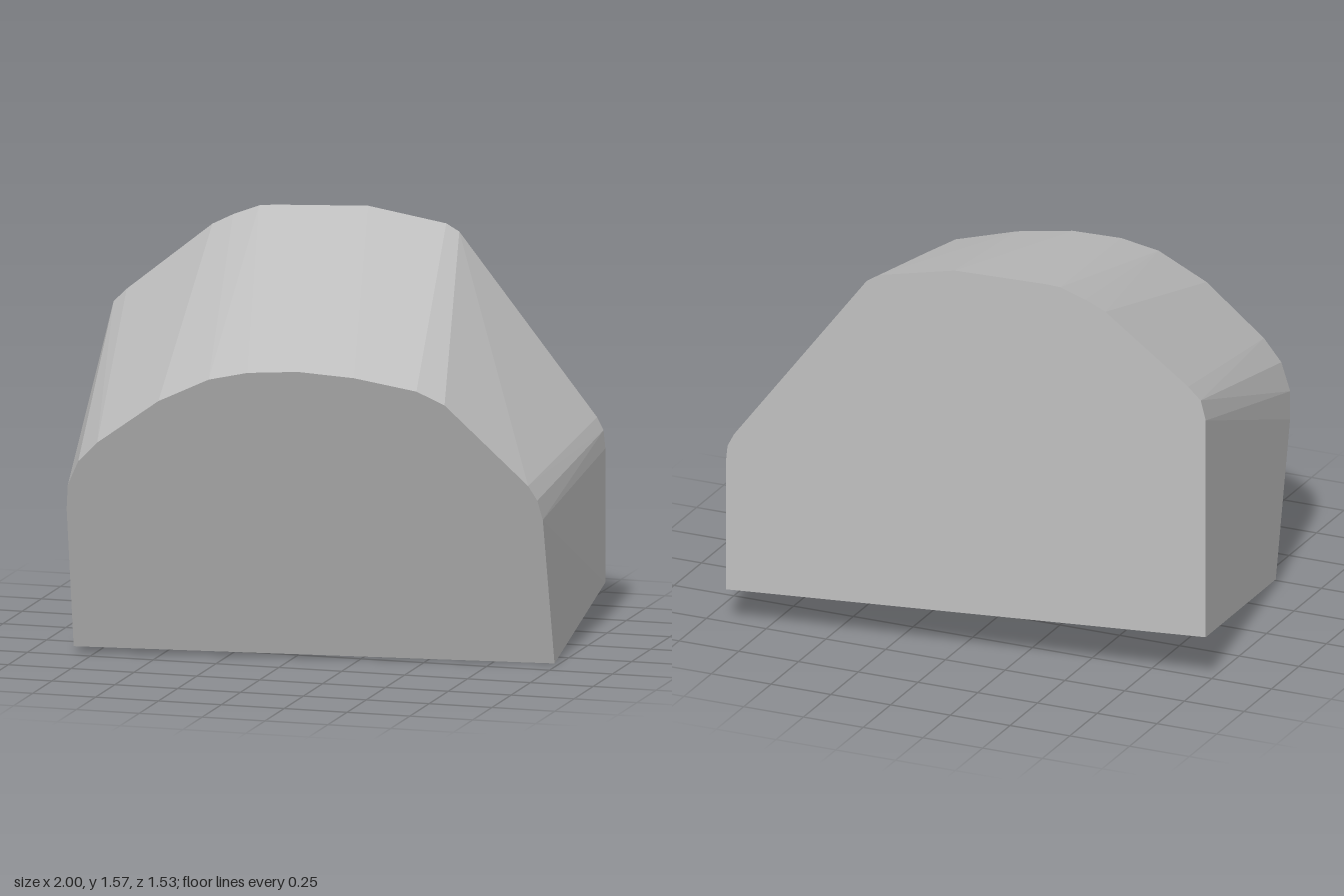
import * as THREE from 'three';
import { ConvexGeometry } from 'three/addons/geometries/ConvexGeometry.js';

// Outlines as [x, y], from the lower right corner clockwise round to the lower left
const frontOutline = [
  [-0.83, 0.025], [-0.795, 0.6], [-0.78, 0.7], [-0.73, 0.8], [-0.65, 0.88],
  [-0.4, 1.06], [-0.2, 1.155], [-0.05, 1.187], [0.14, 1.196], [0.35, 1.175],
  [0.58, 1.125], [0.68, 1.07], [0.96, 0.74], [0.988, 0.68], [1, 0.6], [0.98, 0],
];
const backOutline = [
  [-1, 0.19], [-1, 1.08], [-0.98, 1.16], [-0.93, 1.21], [-0.6, 1.475],
  [-0.52, 1.515], [-0.42, 1.553], [-0.36, 1.558], [0, 1.567], [0.3, 1.51],
  [0.35, 1.48], [0.88, 0.78], [0.905, 0.73], [0.912, 0.66], [0.912, 0.14],
];

// Each end face lies in its own slanted plane
const frontZ = (x, y) => 0.296 - 0.18 * x + 0.37 * y;
const backZ = (x) => -0.665 - 0.11 * x;

const place = (outline, depth) =>
  outline.map(([x, y]) => new THREE.Vector3(x, y, depth(x, y)));

export function createModel() {
  const group = new THREE.Group();
  group.name = 'archedBlock';
  const grey = new THREE.MeshStandardMaterial({ color: 0xc0c0c0 });
  grey.name = 'light grey';

  // Solid body spanning the two arched end faces
  const body = new THREE.Mesh(
    new ConvexGeometry([...place(frontOutline, frontZ), ...place(backOutline, backZ)]),
    grey,
  );
  body.name = 'body';
  group.add(body);
  return group;
}
